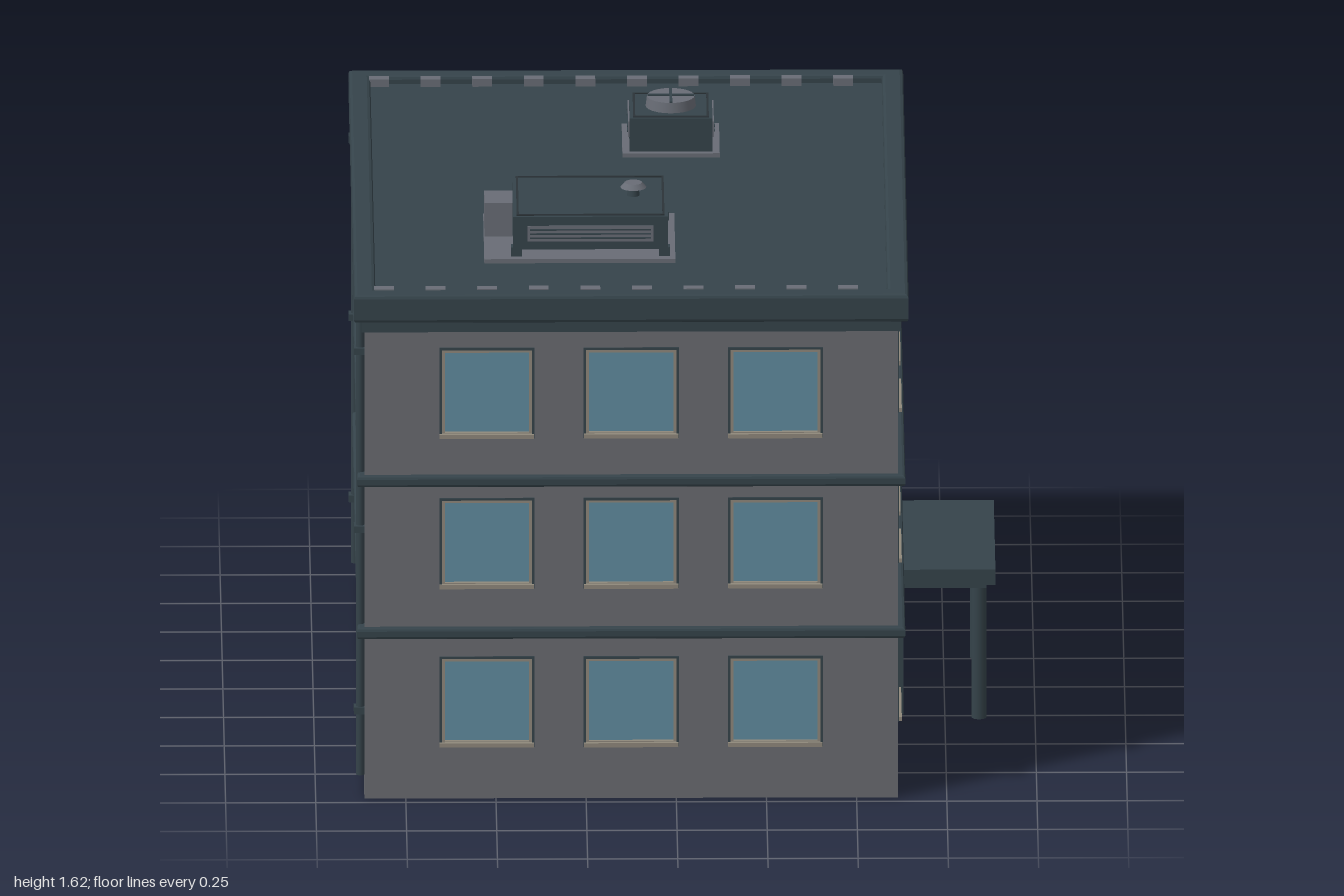
import * as THREE from 'three';

const mat = (name, color) => Object.assign(new THREE.MeshStandardMaterial({ color }), { name });
const wall = mat('wall grey', 0x696b70);
const trim = mat('dark slate trim', 0x35434a);
const glass = mat('window glass', 0x608c9f);
const tan = mat('window frame tan', 0x8f887b);
const blue = mat('door blue', 0x44668f);
const metal = mat('vent grey', 0x686c75);
const dark = mat('handle dark', 0x2b3338);

// Building footprint centre and half sizes
const CX = -0.125, HX = 0.74, HZ = 0.965;
const FLOORS = [0.283, 0.746, 1.185];

function add(parent, name, geometry, material, x = 0, y = 0, z = 0) {
  const m = new THREE.Mesh(geometry, material);
  m.name = name;
  m.position.set(x, y, z);
  parent.add(m);
  return m;
}

const box = (parent, name, material, w, h, d, x, y, z) =>
  add(parent, name, new THREE.BoxGeometry(w, h, d), material, x, y, z);

const cyl = (parent, name, material, rTop, rBottom, h, x, y, z, seg = 16) =>
  add(parent, name, new THREE.CylinderGeometry(rTop, rBottom, h, seg), material, x, y, z);

function rect(target, w, h, x = 0, y = 0) {
  target.moveTo(x - w / 2, y - h / 2);
  target.lineTo(x + w / 2, y - h / 2);
  target.lineTo(x + w / 2, y + h / 2);
  target.lineTo(x - w / 2, y + h / 2);
  target.closePath();
  return target;
}

// Rectangular frame, outer size w x h, border t, extruded along +z
function frame(w, h, t, depth, bevel = 0) {
  const s = rect(new THREE.Shape(), w - 2 * bevel, h - 2 * bevel);
  s.holes.push(rect(new THREE.Path(), w - 2 * t + 2 * bevel, h - 2 * t + 2 * bevel));
  const g = new THREE.ExtrudeGeometry(s, {
    depth: depth - 2 * bevel, bevelEnabled: bevel > 0, bevelSize: bevel, bevelThickness: bevel, bevelSegments: 2,
  });
  return g.translate(0, 0, bevel);
}

// Horizontal ring around the building between two heights
function ring(parent, name, out, t, y0, y1, bevel) {
  const g = frame(2 * (HX + out), 2 * (HZ + out), t, y1 - y0, bevel).rotateX(-Math.PI / 2);
  return add(parent, name, g, trim, CX, y0, 0);
}

// One window, face of the wall at local z = 0
function makeWindow() {
  const g = new THREE.Group();
  g.name = 'window';
  add(g, 'windowSurround', frame(0.264, 0.264, 0.007, 0.024), trim, 0, 0, -0.02);
  add(g, 'windowFrame', frame(0.25, 0.25, 0.008, 0.02), tan, 0, 0, -0.02);
  box(g, 'windowPane', glass, 0.238, 0.238, 0.006, 0, 0, -0.015);
  box(g, 'windowSill', tan, 0.262, 0.012, 0.03, 0, -0.125, -0.003);
  return g;
}

// A wall with window openings, outer face at local z = 0
function facade(name, width, columns, skip) {
  const g = new THREE.Group();
  g.name = name;
  const s = rect(new THREE.Shape(), width, 1.4, 0, 0.7);
  FLOORS.forEach((y, floor) => columns.forEach((x, col) => {
    if (skip && floor === 0 && skip.includes(col)) return;
    s.holes.push(rect(new THREE.Path(), 0.26, 0.26, x, y));
    const w = makeWindow();
    w.position.set(x, y, 0);
    g.add(w);
  }));
  add(g, 'wall', new THREE.ExtrudeGeometry(s, { depth: 0.02, bevelEnabled: false }), wall, 0, 0, -0.02);
  return g;
}

function makeEntrance() {
  const g = new THREE.Group();
  g.name = 'entrance';
  const x = CX + HX;
  box(g, 'canopy', trim, 0.275, 0.045, 0.61, x + 0.1375, 0.4225, 0);
  box(g, 'canopyUnderside', trim, 0.25, 0.016, 0.57, x + 0.125, 0.393, 0);
  box(g, 'doorLintel', trim, 0.02, 0.02, 0.48, x + 0.01, 0.385, 0);
  for (const s of [-1, 1]) {
    cyl(g, 'canopyPost', trim, 0.021, 0.021, 0.4, x + 0.23, 0.2, s * 0.262);
    box(g, 'doorJamb', trim, 0.02, 0.385, 0.014, x + 0.01, 0.1925, s * 0.232);
    box(g, 'doorLeaf', blue, 0.012, 0.368, 0.222, x + 0.006, 0.19, s * 0.1125);
    const knob = new THREE.SphereGeometry(1, 12, 8);
    add(g, 'upperHandle', knob, dark, x + 0.014, 0.305, s * 0.008).scale.set(0.008, 0.028, 0.012);
    add(g, 'lowerHandle', knob, dark, x + 0.014, 0.12, s * 0.006).scale.set(0.008, 0.042, 0.011);
  }
  box(g, 'doorGap', dark, 0.004, 0.24, 0.008, x + 0.013, 0.2, 0);
  box(g, 'doorStep', trim, 0.014, 0.008, 0.45, x + 0.007, 0.004, 0);
  return g;
}

function makeLargeUnit() {
  const g = new THREE.Group();
  g.name = 'largeRoofUnit';
  const x = -0.235, z = 0.445;
  box(g, 'basePlate', metal, 0.53, 0.012, 0.4, -0.265, 1.461, 0.44);
  box(g, 'unitBody', trim, 0.43, 0.095, 0.36, x, 1.538, z);
  add(g, 'lidSeam', frame(0.41, 0.34, 0.006, 0.004).rotateX(-Math.PI / 2), dark, x, 1.585, z);
  box(g, 'sideBox', metal, 0.08, 0.1, 0.11, -0.488, 1.515, 0.385);
  for (const sx of [-1, 1]) for (const sz of [-1, 1])
    box(g, 'foot', trim, 0.03, 0.035, 0.03, x + sx * 0.205, 1.475, z + sz * 0.155);
  // Louvres on both long sides
  for (const s of [-1, 1]) {
    box(g, 'grillePanel', metal, 0.35, 0.045, 0.006, x, 1.537, z + s * 0.181);
    for (let i = 0; i < 3; i++)
      box(g, 'grilleSlat', trim, 0.335, 0.004, 0.005, x, 1.525 + i * 0.012, z + s * 0.184);
  }
  cyl(g, 'ventStem', trim, 0.014, 0.018, 0.03, -0.115, 1.597, 0.435);
  cyl(g, 'ventCap', metal, 0.024, 0.036, 0.014, -0.115, 1.616, 0.435, 20);
  return g;
}

function makeFanUnit() {
  const g = new THREE.Group();
  g.name = 'roofFanUnit';
  const x = -0.005, z = -0.418;
  box(g, 'basePlate', metal, 0.27, 0.012, 0.265, x, 1.461, z);
  box(g, 'fanHousing', trim, 0.23, 0.1, 0.23, x, 1.513, z);
  add(g, 'housingSeam', frame(0.21, 0.21, 0.006, 0.004).rotateX(-Math.PI / 2), dark, x, 1.562, z);
  for (const s of [-1, 1]) {
    box(g, 'grillePanel', metal, 0.006, 0.045, 0.19, x + s * 0.116, 1.525, z);
    for (let i = 0; i < 2; i++)
      box(g, 'grilleSlat', trim, 0.005, 0.004, 0.18, x + s * 0.119, 1.518 + i * 0.014, z);
  }
  cyl(g, 'fanDrum', metal, 0.066, 0.07, 0.03, x, 1.577, z, 24);
  box(g, 'fanBar', trim, 0.13, 0.006, 0.008, x, 1.593, z);
  box(g, 'fanBar', trim, 0.008, 0.006, 0.13, x, 1.593, z);
  return g;
}

export function createModel() {
  const model = new THREE.Group();
  model.name = 'officeBuilding';

  // Core and four walls
  box(model, 'core', wall, 2 * HX - 0.04, 1.39, 2 * HZ - 0.04, CX, 0.695, 0);
  const frontCols = [-0.4, 0, 0.4], sideCols = [-0.62, -0.208, 0.208, 0.62];
  for (const s of [1, -1]) {
    const end = facade(s > 0 ? 'frontWall' : 'backWall', 2 * HX, frontCols);
    end.position.set(CX, 0, s * HZ);
    end.rotation.y = s > 0 ? 0 : Math.PI;
    const side = facade(s > 0 ? 'leftWall' : 'rightWall', 2 * HZ, sideCols, s > 0 ? [1, 2] : null);
    side.position.set(CX + s * HX, 0, 0);
    side.rotation.y = s * Math.PI / 2;
    model.add(end, side);
  }

  // Floor bands, cornice and roof
  ring(model, 'lowerBand', 0.02, 0.04, 0.47, 0.502, 0.008);
  ring(model, 'upperBand', 0.02, 0.04, 0.914, 0.946, 0.008);
  ring(model, 'corniceMoulding', 0.008, 0.03, 1.365, 1.4, 0);
  ring(model, 'cornice', 0.029, 0.06, 1.397, 1.478, 0.01);
  box(model, 'roof', trim, 2 * HX - 0.02, 0.06, 2 * HZ - 0.02, CX, 1.425, 0);

  // Small clips along the front and back parapet
  for (const z of [-0.925, 0.918])
    for (let i = 0; i < 10; i++)
      box(model, 'parapetClip', metal, 0.055, 0.026, 0.03, -0.81 + i * 0.143, 1.464, z);

  // Drainpipes on the plain long side
  for (const z of [-0.93, 0.93]) {
    cyl(model, 'drainpipe', trim, 0.012, 0.012, 1.34, CX - HX - 0.011, 0.73, z, 12);
    for (const y of [0.25, 0.78, 1.3])
      box(model, 'pipeBracket', trim, 0.03, 0.02, 0.036, CX - HX - 0.014, y, z);
  }

  model.add(makeEntrance(), makeLargeUnit(), makeFanUnit());
  return model;
}
